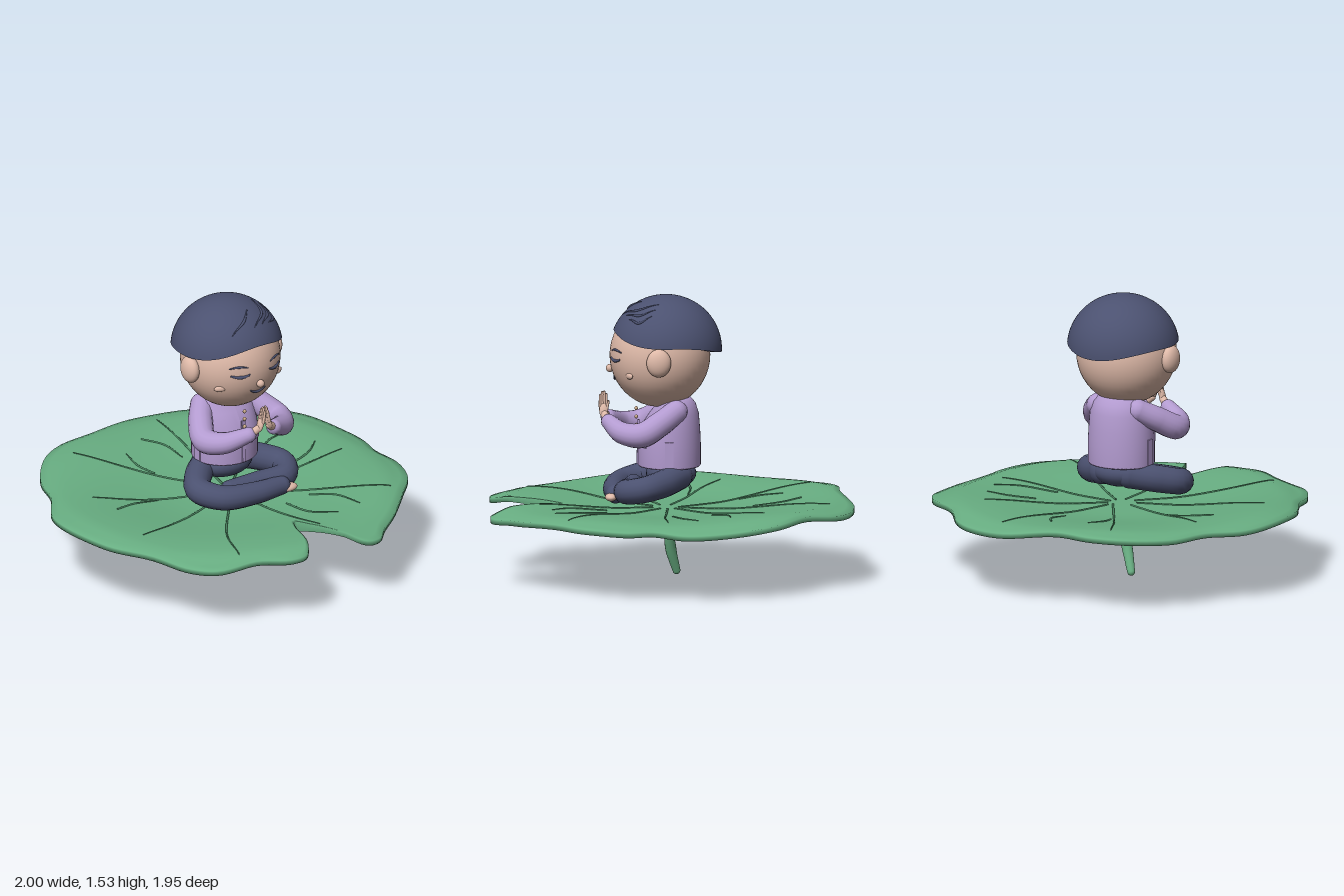
import * as THREE from 'three';

const mat = (name, color) => {
  const m = new THREE.MeshStandardMaterial({ color });
  m.name = name;
  return m;
};
const V = (x, y, z) => new THREE.Vector3(x, y, z);
const ss = THREE.MathUtils.smoothstep;
const CX = 0.01; // the figure sits slightly off centre

export function createModel() {
  const model = new THREE.Group();
  const green = mat('leafGreen', 0x68ae82);
  const veinGreen = mat('veinGreen', 0x4d8a64);
  const purple = mat('jacketPurple', 0xb39bd0);
  const navy = mat('navy', 0x4b5170);
  const skin = mat('skin', 0xdeb9a8);
  const gold = mat('buttonTan', 0xcfae8c);

  const add = (name, geo, material, parent = model) => {
    const m = new THREE.Mesh(geo, material);
    m.name = name;
    parent.add(m);
    return m;
  };
  const group = (name) => {
    const g = new THREE.Group();
    g.name = name;
    model.add(g);
    return g;
  };
  const ball = (name, p, s, material, parent = model, seg = 32) => {
    const m = add(name, new THREE.SphereGeometry(1, seg, seg / 2), material, parent);
    m.position.set(...p);
    m.scale.set(...s);
    return m;
  };
  // Surface f(i, j) closed round i, with rows j running outward and down
  const grid = (f, nu, nv) => {
    const pos = [], idx = [];
    for (let j = 0; j <= nv; j++) for (let i = 0; i < nu; i++) pos.push(...f(i, j));
    for (let j = 0; j < nv; j++) for (let i = 0; i < nu; i++) {
      const k = (i + 1) % nu, a = j * nu + i, b = j * nu + k;
      idx.push(a, b, b + nu, a, b + nu, a + nu);
    }
    const g = new THREE.BufferGeometry();
    g.setAttribute('position', new THREE.Float32BufferAttribute(pos, 3));
    g.setIndex(idx);
    g.computeVertexNormals();
    return g;
  };
  // Tapered tube through points with ball ends
  const limb = (name, pts, radii, material, parent = model, n = 24, sides = 16) => {
    const curve = new THREE.CatmullRomCurve3(pts.map((p) => V(...p)));
    const g = new THREE.TubeGeometry(curve, n, 1, sides);
    const p = g.attributes.position;
    const rad = (t) => {
      const f = t * (radii.length - 1), i = Math.min(Math.floor(f), radii.length - 2);
      return THREE.MathUtils.lerp(radii[i], radii[i + 1], f - i);
    };
    for (let j = 0; j <= n; j++) {
      const c = curve.getPointAt(j / n);
      for (let i = 0; i <= sides; i++) {
        const k = j * (sides + 1) + i;
        const q = V(0, 0, 0).fromBufferAttribute(p, k).sub(c).multiplyScalar(rad(j / n)).add(c);
        p.setXYZ(k, q.x, q.y, q.z);
      }
    }
    add(name, g, material, parent);
    [0, 1].forEach((t) => {
      const r = rad(t);
      ball(name + 'End', curve.getPointAt(t).toArray(), [r, r, r], material, parent, sides);
    });
  };

  // Lily leaf: wavy notched outline, nearly flat on top and bowl-shaped below
  const outline = new THREE.CatmullRomCurve3([
    [0.11, -0.98], [0.35, -0.94], [0.48, -0.87], [0.62, -0.72], [0.83, -0.57], [0.93, -0.43], [0.995, -0.16],
    [0.995, -0.05], [0.95, 0.11], [0.96, 0.27], [0.885, 0.48], [0.75, 0.62], [0.565, 0.785], [0.43, 0.88],
    [0.325, 0.965], [0.245, 0.965], [0.165, 0.865], [0.085, 0.695], [0.04, 0.595], [-0.01, 0.67], [-0.08, 0.865],
    [-0.16, 0.96], [-0.265, 0.96], [-0.425, 0.865], [-0.64, 0.805], [-0.735, 0.695], [-0.825, 0.48], [-0.96, 0.24],
    [-1, -0.05], [-0.96, -0.24], [-0.825, -0.43], [-0.735, -0.64], [-0.56, -0.83], [-0.4, -0.9], [-0.185, -0.91],
  ].map(([x, z]) => V(x, 0, z)), true);
  const leafTop = (x, z) => {
    const r = Math.hypot(x, z), a = Math.atan2(z, x);
    return 0.38 + 0.045 * ss(r, 0.25, 0.82) - 0.03 * ss(r, 0.86, 1.02)
      + 0.014 * r ** 3 * Math.sin(5 * a - 1.2) - 0.012 * r * z - 0.012 * r * r * x;
  };
  const leafThickness = (x, z) => 0.08 - 0.052 * ss(Math.hypot(x, z), 0.35, 0.9);
  const NU = 210, NR = 24;
  const rim = outline.getPoints(NU);
  const leaf = group('lilyLeaf');
  add('leafBlade', grid((i, j) => {
    const top = j <= NR;
    const t = (top ? j : 2 * NR + 1 - j) / NR;
    const x = 0.02 + (rim[i].x - 0.02) * t, z = rim[i].z * t;
    return [x, leafTop(x, z) - (top ? 0 : leafThickness(x, z)), z];
  }, NU, NR * 2 + 1), green, leaf);

  // Leaf veins as fine raised tubes: start, middle, end in x, z
  [
    [0.03, -0.04, -0.29, -0.51, -0.43, -0.75], [0.05, -0.06, 0.14, -0.45, 0.205, -0.845],
    [0.08, -0.02, 0.43, -0.35, 0.555, -0.49], [0.09, 0.02, 0.56, 0.04, 0.785, 0.027],
    [0.08, 0.06, 0.48, 0.4, 0.71, 0.56], [0.04, 0.1, 0.083, 0.56, 0.12, 0.705],
    [-0.02, 0.1, -0.37, 0.535, -0.465, 0.765], [-0.06, 0.06, -0.53, 0.23, -0.735, 0.273],
    [-0.06, 0, -0.48, -0.16, -0.66, -0.273], [-0.175, -0.37, -0.205, -0.48, -0.185, -0.6],
    [-0.01, -0.695, 0.06, -0.59, 0.067, -0.44], [0.415, -0.005, 0.62, -0.055, 0.73, -0.135],
    [0.415, -0.215, 0.54, -0.295, 0.66, -0.31], [-0.64, -0.08, -0.505, -0.11, -0.355, -0.095],
    [0.325, 0.35, 0.415, 0.455, 0.45, 0.625], [0.17, 0.35, 0.19, 0.535, 0.295, 0.64],
  ].forEach(([ax, az, bx, bz, cx, cz]) => {
    const flat = new THREE.CatmullRomCurve3([V(ax, 0, az), V(bx, 0, bz), V(cx, 0, cz)]).getPoints(14);
    limb('leafVein', flat.map((p) => [p.x, leafTop(p.x, p.z) + 0.001, p.z]), [0.006, 0.006, 0.003], veinGreen, leaf, 28, 6);
  });

  // Stem with a flared top and a narrow neck
  limb('stem', [[0.012, 0.31, 0.015], [0.005, 0.26, 0.012], [-0.035, 0.14, 0], [-0.08, 0.022, -0.03]],
    [0.04, 0.034, 0.023, 0.028, 0.03, 0.029, 0.026, 0.024, 0.021], green, model, 40);

  // Crossed legs and hips
  const legs = group('crossedLegs');
  ball('hips', [CX, 0.565, 0], [0.165, 0.085, 0.135], navy, legs);
  limb('rightLeg', [[-0.08, 0.56, -0.04], [-0.2, 0.535, 0.05], [-0.265, 0.51, 0.15], [-0.19, 0.487, 0.26],
    [0, 0.48, 0.305], [0.17, 0.475, 0.3]], [0.075, 0.074, 0.07, 0.066, 0.06, 0.052], navy, legs, 40);
  limb('leftLeg', [[0.1, 0.56, -0.04], [0.225, 0.535, 0.05], [0.292, 0.515, 0.15], [0.235, 0.495, 0.24],
    [0.08, 0.49, 0.22], [-0.1, 0.49, 0.2]], [0.075, 0.074, 0.07, 0.066, 0.058, 0.05], navy, legs, 40);
  ball('rightFoot', [0.205, 0.463, 0.325], [0.05, 0.022, 0.032], skin, legs);
  ball('leftFoot', [-0.14, 0.475, 0.2], [0.05, 0.025, 0.032], skin, legs);

  // Jacket body, its chest sloping back under the chin
  const jacket = group('jacket');
  const profile = [[0, 0.605], [0.178, 0.605], [0.184, 0.613], [0.184, 0.72], [0.18, 0.8], [0.172, 0.89],
    [0.153, 0.945], [0.12, 0.98], [0, 0.99]].map(([x, y]) => new THREE.Vector2(x, y));
  const bodyGeo = new THREE.LatheGeometry(profile, 48);
  const bp = bodyGeo.attributes.position;
  for (let i = 0; i < bp.count; i++) {
    const z = bp.getZ(i) * 0.92;
    bp.setZ(i, 0.01 + (z > 0 ? z * (1 - 0.6 * ss(bp.getY(i), 0.8, 0.97)) : z));
  }
  bodyGeo.computeVertexNormals();
  add('jacketBody', bodyGeo, purple, jacket).position.x = CX;

  // Placket, buttons, pockets and side vents
  const strip = add('placket', new THREE.BoxGeometry(0.022, 0.24, 0.009), purple, jacket);
  strip.position.set(CX, 0.735, 0.178);
  strip.rotation.x = -0.03;
  for (let i = 0; i < 5; i++) ball('button', [CX, 0.735 + i * 0.045, 0.187], [0.011, 0.011, 0.009], gold, jacket, 12);
  for (const s of [-1, 1]) {
    const pocket = group(s > 0 ? 'leftPocket' : 'rightPocket');
    pocket.position.set(CX + s * 0.09, 0.745, 0.158);
    pocket.rotation.y = s * 0.5;
    add('pocketPlate', new THREE.BoxGeometry(0.09, 0.06, 0.009), purple, pocket);
    add('pocketSlit', new THREE.BoxGeometry(0.075, 0.008, 0.009), navy, pocket).position.set(0, 0.004, 0.003);
    const vent = add('sideVent', new THREE.BoxGeometry(0.006, 0.14, 0.045), purple, jacket);
    vent.position.set(CX + s * 0.184, 0.685, 0.012);
  }

  // Sleeves and praying hands
  for (const s of [-1, 1]) {
    const side = s > 0 ? 'left' : 'right';
    const arm = group(side + 'Arm');
    const at = (x, y, z) => [CX + s * x, y, z];
    limb(side + 'Sleeve', [at(0.128, 0.915, -0.025), at(0.2, 0.86, 0.06), at(0.247, 0.805, 0.16),
      at(0.2, 0.81, 0.26), at(0.085, 0.855, 0.335)], [0.062, 0.067, 0.068, 0.058, 0.042], purple, arm, 32);
    limb(side + 'Wrist', [at(0.075, 0.86, 0.343), at(0.035, 0.89, 0.358)], [0.024, 0.02], skin, arm, 4, 12);
    const palm = ball(side + 'Palm', at(0.028, 0.908, 0.362), [0.015, 0.042, 0.024], skin, arm, 16);
    palm.rotation.z = s * 0.3;
    for (let i = 0; i < 4; i++) {
      const z = 0.348 + i * 0.0105;
      limb(side + 'Finger', [at(0.02, 0.925, z), at(0.009, [0.99, 1.003, 1, 0.985][i], z)], [0.009, 0.007], skin, arm, 3, 8);
    }
    limb(side + 'Thumb', [at(0.03, 0.9, 0.35), at(0.014, 0.95, 0.338)], [0.01, 0.008], skin, arm, 3, 8);
  }

  // Head, ears and closed-eyed face
  const head = group('head');
  const HC = V(CX, 1.205, 0.06), HR = V(0.27, 0.28, 0.27);
  ball('face', HC.toArray(), HR.toArray(), skin, head, 48);
  const onFace = (x, y) => [CX + x, y, HC.z + HR.z * Math.sqrt(1 - (x / HR.x) ** 2 - ((y - HC.y) / HR.y) ** 2)];
  const faceLine = (name, x, y, w, bend, r) => {
    const pts = [-1, -0.5, 0, 0.5, 1].map((t) => onFace(x + t * w, y + bend * t * t));
    limb(name, pts, [r * 0.5, r, r * 0.5], navy, head, 16, 8);
  };
  for (const s of [-1, 1]) {
    ball('ear', [CX + s * 0.278, 1.2, 0.07], [0.042, 0.076, 0.066], skin, head);
    faceLine('closedEye', s * 0.113, 1.19, 0.046, 0.01, 0.01);
    faceLine('eyebrow', s * 0.12, 1.249, 0.045, -0.008, 0.007);
    const cheek = ball('cheek', onFace(s * 0.195, 1.118), [0.034, 0.017, 0.013], skin, head, 16);
    cheek.rotation.y = s * 0.45;
  }
  ball('nose', [CX, 1.133, 0.328], [0.022, 0.022, 0.022], skin, head, 16);
  faceLine('mouth', 0, 1.077, 0.046, 0.016, 0.009);

  // Hair cap with an arched fringe, a low nape and a rim turned under
  const cy = 1.24, ry = 0.29;
  const hairAt = (a, p, k) => [CX + 0.302 * k * Math.sin(p) * Math.cos(a), cy + ry * Math.cos(p),
    0.028 + 0.3 * k * Math.sin(p) * Math.sin(a)];
  const NH = 24;
  add('hairCap', grid((i, j) => {
    const a = i / 72 * Math.PI * 2, s = Math.sin(a);
    const edge = 1.277 + (s > 0 ? 0.066 * s ** 3 : 0.053 * s ** 3);
    const end = Math.acos((edge - cy) / ry);
    return hairAt(a, end * Math.min(j / NH, 1), j > NH + 1 ? 0.82 : 1);
  }, 72, NH + 2), navy, head);
  // Raised locks sweeping from the fringe to the crown: start, middle, end in x, z
  [[0.135, 0.04, 0.12, 0.15, 0.02, 0.225], [0.17, 0.06, 0.165, 0.14, 0.08, 0.212],
    [0.2, 0.08, 0.2, 0.145, 0.13, 0.2], [0.04, 0.13, -0.03, 0.19, -0.12, 0.21]]
    .forEach(([ax, az, bx, bz, cx, cz]) => {
      const flat = new THREE.CatmullRomCurve3([V(ax, 0, az), V(bx, 0, bz), V(cx, 0, cz)]).getPoints(10);
      const pts = flat.map(({ x, z }) => [CX + x, cy + ry * Math.sqrt(1 - (x / 0.302) ** 2 - (z / 0.3) ** 2), 0.028 + z]);
      limb('hairLock', pts, [0.002, 0.008, 0.002], navy, head, 20, 8);
    });

  return model;
}
